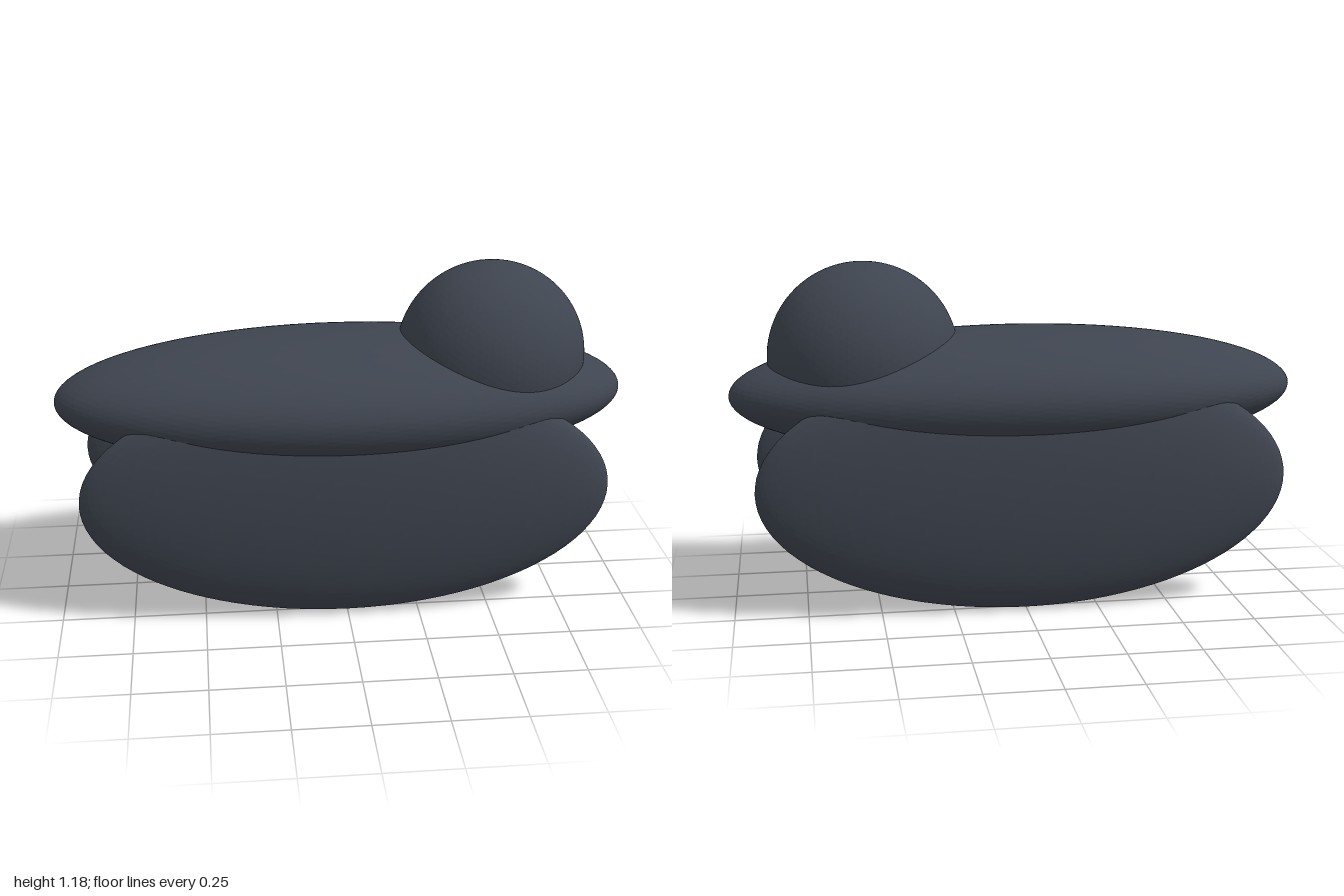
import * as THREE from 'three';

export function createModel() {
  const model = new THREE.Group();
  const slate = new THREE.MeshStandardMaterial({ color: 0x3f4550 });
  slate.name = 'slate';

  // Finely faceted unit sphere shared by all parts
  const sphere = new THREE.IcosahedronGeometry(1, 15);
  sphere.computeVertexNormals();

  const ellipsoid = (name, radii, centre) => {
    const mesh = new THREE.Mesh(sphere, slate);
    mesh.name = name;
    mesh.scale.set(...radii);
    mesh.position.set(...centre);
    model.add(mesh);
  };

  // Long flattened hull with a dome towards one end
  ellipsoid('body', [1, 0.222, 0.397], [0, 0.727, 0]);
  ellipsoid('dome', [0.332, 0.332, 0.291], [0.532, 0.854, 0]);

  // Thin upright pods on either side
  for (const [name, side] of [['frontPod', 1], ['backPod', -1]]) {
    ellipsoid(name, [0.917, 0.44, 0.12], [0, 0.441, side * 0.256]);
  }
  return model;
}
